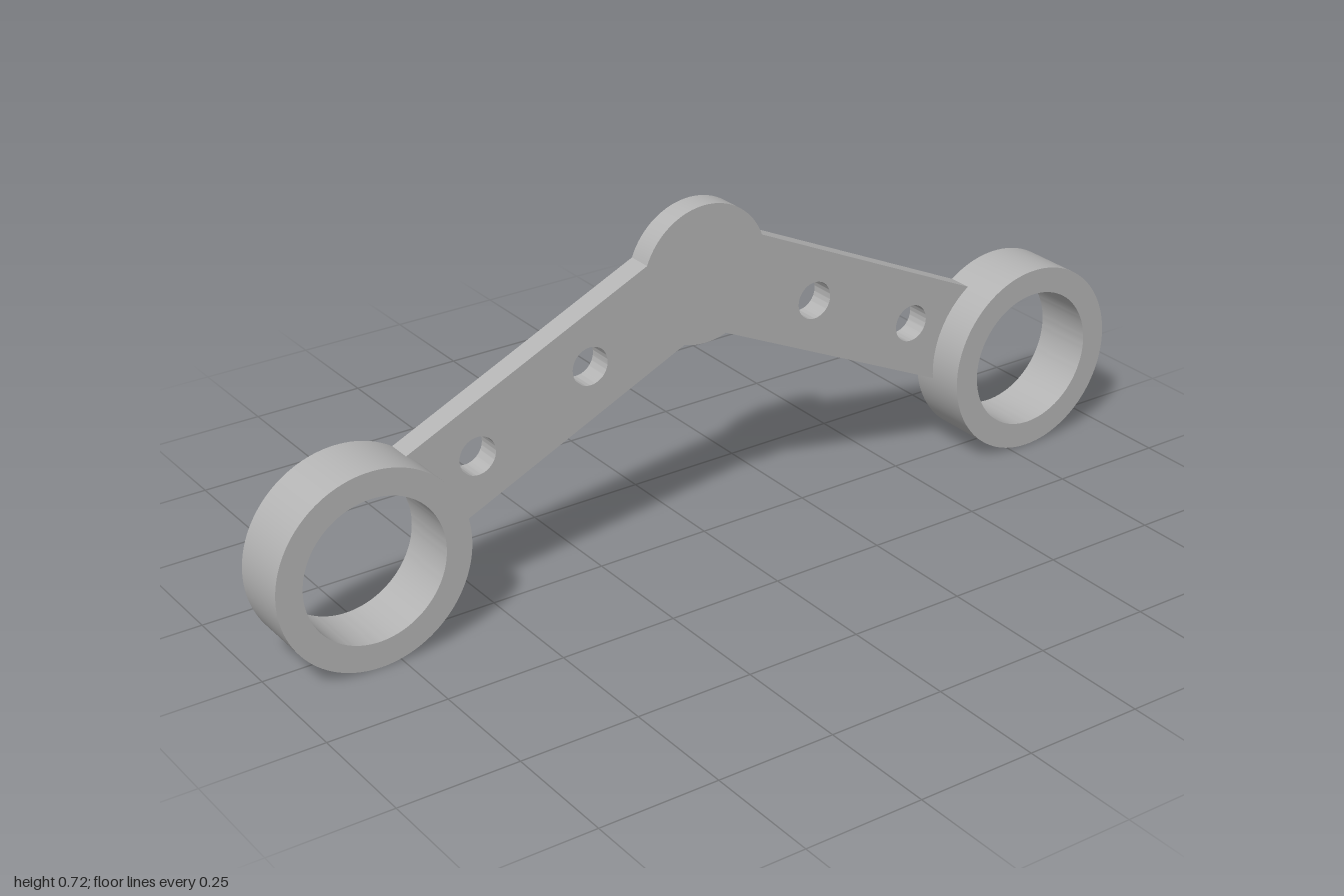
import * as THREE from 'three';
import { toCreasedNormals } from 'three/addons/utils/BufferGeometryUtils.js';

const HUB = new THREE.Vector2(0, 0.57), HUB_R = 0.146;
const RING = new THREE.Vector2(0.795, 0.205), RING_R = 0.205, BORE_R = 0.15;
const HALF_WIDTH = 0.104, HOLE_R = 0.04;
const BACK = -0.048, PLATE_FRONT = 0.004, RING_FRONT = 0.083, BOSS_BACK = -0.081;

export function createModel() {
  const group = new THREE.Group();
  const metal = new THREE.MeshStandardMaterial({ color: 0xb4b4b4 });
  metal.name = 'grey metal';

  const circle = (x, y, r) => new THREE.Path().absarc(x, y, r, 0, Math.PI * 2, true);

  // Extrudes a shape between two depths, smooth on curves and sharp at edges
  function addPart(name, shape, z0, z1) {
    const extruded = new THREE.ExtrudeGeometry(shape, { depth: z1 - z0, bevelEnabled: false, curveSegments: 64 });
    const mesh = new THREE.Mesh(toCreasedNormals(extruded, 0.5), metal);
    mesh.position.z = z0;
    mesh.name = name;
    group.add(mesh);
  }

  // Points of one arm: u runs from hub to ring, v is across; side mirrors x
  const axis = RING.clone().sub(HUB), length = axis.length();
  axis.normalize();
  const armPoint = (u, v, side) => new THREE.Vector2(
    side * (HUB.x + axis.x * u - axis.y * v), HUB.y + axis.y * u + axis.x * v);

  // Arm end, curved to sit against the ring, from lower to upper edge
  const armEnd = (side) => Array.from({ length: 17 }, (_, i) => {
    const v = HALF_WIDTH * (i / 8 - 1);
    return armPoint(length - Math.sqrt(RING_R ** 2 - v * v), v, side);
  });

  // Arc of the hub, from one point on it to another, counterclockwise
  function hubArc(from, to) {
    const a = Math.atan2(from.y - HUB.y, from.x), b = Math.atan2(to.y - HUB.y, to.x);
    return Array.from({ length: 33 }, (_, i) => {
      const t = a + (b - a) * i / 32;
      return new THREE.Vector2(HUB_R * Math.cos(t), HUB.y + HUB_R * Math.sin(t));
    });
  }

  // Bent plate with both arms and the rounded hub
  const u0 = Math.sqrt(HUB_R ** 2 - HALF_WIDTH ** 2);
  const plate = new THREE.Shape([
    ...armEnd(1),
    ...hubArc(armPoint(u0, HALF_WIDTH, 1), armPoint(u0, HALF_WIDTH, -1)),
    ...armEnd(-1).reverse(),
    ...hubArc(armPoint(u0, -HALF_WIDTH, -1), armPoint(u0, -HALF_WIDTH, 1)),
  ]);
  for (const side of [1, -1]) {
    for (const u of [0.297, 0.578]) {
      const p = armPoint(u, 0, side);
      plate.holes.push(circle(p.x, p.y, HOLE_R));
    }
  }
  addPart('armPlate', plate, BACK, PLATE_FRONT);

  // End rings
  for (const [name, side] of [['leftRing', 1], ['rightRing', -1]]) {
    const ring = new THREE.Shape().absarc(side * RING.x, RING.y, RING_R, 0, Math.PI * 2);
    ring.holes.push(circle(side * RING.x, RING.y, BORE_R));
    addPart(name, ring, BACK, RING_FRONT);
  }

  // Round boss behind the hub
  addPart('hubBoss', new THREE.Shape().absarc(HUB.x, HUB.y, 0.079, 0, Math.PI * 2), BOSS_BACK, BACK);

  return group;
}
